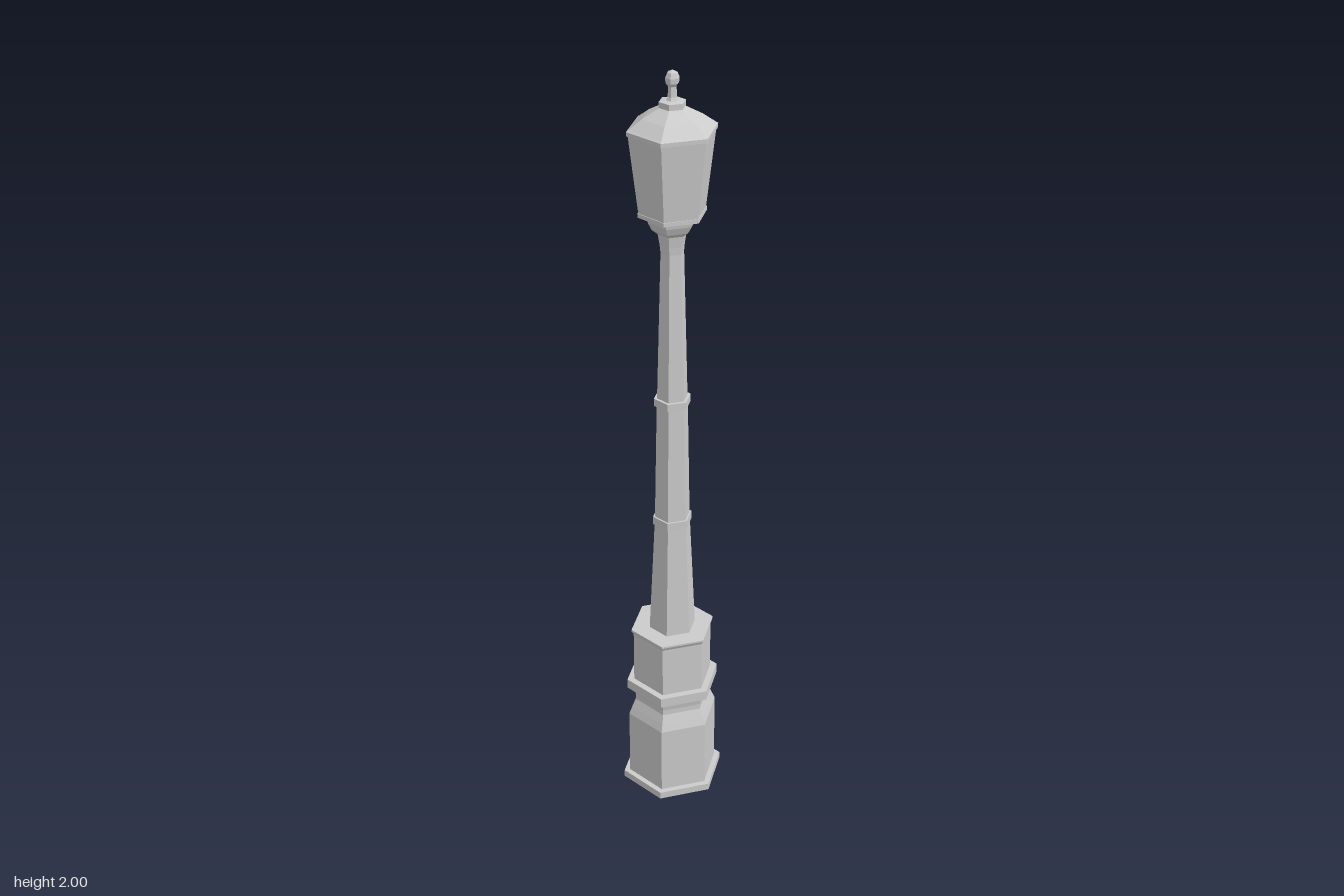
import * as THREE from 'three';

const material = new THREE.MeshStandardMaterial({
  color: 0xcccccc, flatShading: true, side: THREE.DoubleSide,
});

// Six-sided turned part from [radius, height] pairs, corners on the x axis
function hexPart(name, profile) {
  const points = profile.map(([r, y]) => new THREE.Vector2(r, y));
  const mesh = new THREE.Mesh(new THREE.LatheGeometry(points, 6, Math.PI / 2), material);
  mesh.name = name;
  return mesh;
}

// Tapered pane lying just proud of one lantern face
function paneGeometry() {
  const [y0, y1, z0, z1, w0, w1] = [1.675, 1.84, 0.0735, 0.091, 0.031, 0.038];
  const shape = [-w0, y0, z0, w0, y0, z0, w1, y1, z1, -w1, y1, z1];
  const geometry = new THREE.BufferGeometry();
  geometry.setAttribute('position', new THREE.Float32BufferAttribute(shape, 3));
  geometry.setIndex([0, 1, 2, 0, 2, 3]);
  geometry.computeVertexNormals();
  return geometry;
}

export function createModel() {
  const model = new THREE.Group();
  model.name = 'streetLamp';

  // Hollow pedestal with foot, waist, belt and top lip
  model.add(hexPart('pedestal', [
    [0.121, 0.02], [0.121, 0], [0.137, 0], [0.137, 0.02], [0.121, 0.02],
    [0.121, 0.215], [0.113, 0.235], [0.102, 0.26], [0.102, 0.275], [0.108, 0.303],
    [0.125, 0.303], [0.125, 0.33], [0.106, 0.33], [0.106, 0.475],
    [0.112, 0.485], [0.112, 0.49], [0, 0.49],
  ]));

  // Tapering post with two collars
  model.add(hexPart('post', [
    [0.062, 0.49], [0.047, 0.81], [0.051, 0.81], [0.051, 0.832], [0.046, 0.832],
    [0.04, 1.153], [0.047, 1.153], [0.047, 1.173], [0.039, 1.173],
    [0.029, 1.56], [0.031, 1.58], [0.036, 1.61],
  ]));

  // Bowl carrying the lantern
  model.add(hexPart('bowl', [
    [0, 1.608], [0.036, 1.608], [0.05, 1.62], [0.059, 1.638], [0.063, 1.657],
  ]));

  // Lantern
  const lantern = new THREE.Group();
  lantern.name = 'lantern';
  lantern.add(hexPart('lanternBody', [
    [0, 1.655], [0.084, 1.655], [0.084, 1.665], [0.082, 1.665], [0.105, 1.855],
    [0.109, 1.855], [0.109, 1.865], [0.104, 1.868],
  ]));
  const pane = paneGeometry();
  for (let i = 0; i < 6; i++) {
    const mesh = new THREE.Mesh(pane, material);
    mesh.name = 'pane' + (i + 1);
    mesh.rotation.y = i * Math.PI / 3;
    lantern.add(mesh);
  }
  lantern.add(hexPart('roof', [
    [0.104, 1.868], [0.072, 1.891], [0.03, 1.914], [0.032, 1.914], [0.032, 1.928], [0, 1.932],
  ]));
  model.add(lantern);

  // Finial stem and knob
  model.add(hexPart('finial', [
    [0.016, 1.928], [0.011, 1.938], [0.01, 1.962], [0.016, 1.97],
    [0.017, 1.982], [0.012, 1.994], [0, 2],
  ]));
  return model;
}
